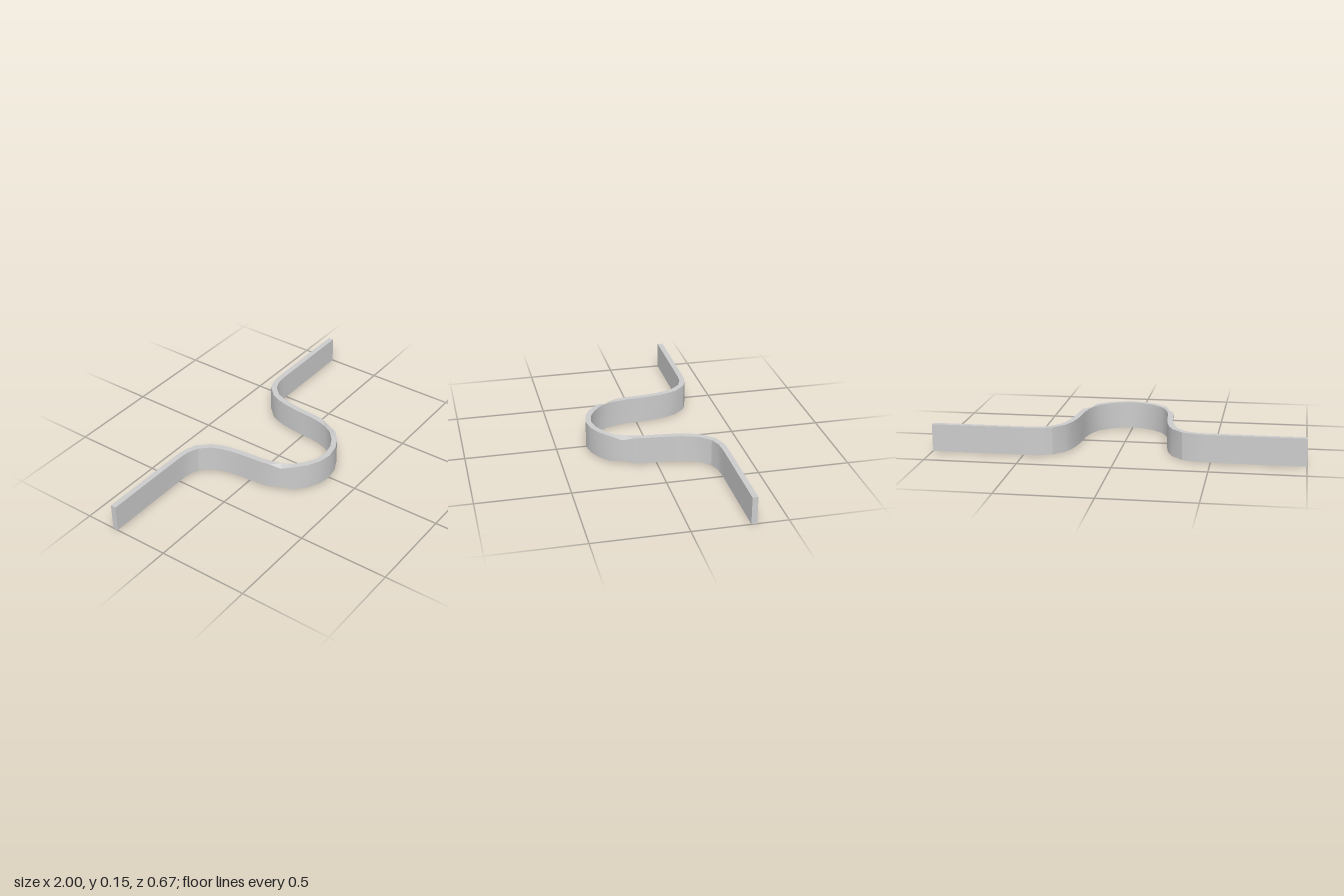
import * as THREE from 'three';
import { toCreasedNormals } from 'three/addons/utils/BufferGeometryUtils.js';

const HEIGHT = 0.15;

// Half of the bend, left end to centre: front edge x, z, back edge x, z, corner chamfer
const HALF = [
  [-1, -0.305, -1, -0.335],
  [-0.52, -0.305, -0.52, -0.335],
  [-0.47, -0.304, -0.46, -0.334],
  [-0.42, -0.299, -0.405, -0.327],
  [-0.365, -0.278, -0.347, -0.305],
  [-0.315, -0.225, -0.288, -0.242],
  [-0.298, -0.18, -0.267, -0.193],
  [-0.284, -0.13, -0.253, -0.138],
  [-0.274, -0.065, -0.242, -0.07],
  [-0.268, 0, -0.237, -0.005],
  [-0.264, 0.06, -0.233, 0.055],
  [-0.254, 0.12, -0.223, 0.112],
  [-0.235, 0.18, -0.206, 0.167, 0.014],
  [-0.2, 0.24, -0.178, 0.217],
  [-0.14, 0.29, -0.125, 0.263],
  [-0.075, 0.322, -0.067, 0.293],
  [0, 0.335, 0, 0.305],
];

// Rectangular cross-section, counted front bottom, front top, back top, back bottom
function section([fx, fz, bx, bz, notch = 0]) {
  return [
    [fx, notch, fz],
    [fx, HEIGHT - notch, fz],
    [bx, HEIGHT, bz],
    [bx, 0, bz],
  ];
}

function stripGeometry() {
  const mirrored = HALF.slice(0, -1).reverse()
    .map(([fx, fz, bx, bz, notch]) => [-fx, fz, -bx, bz, notch]);
  const rings = [...HALF, ...mirrored].map(section);
  const positions = [];
  const quad = (a, b, c, d) => positions.push(...a, ...b, ...c, ...a, ...c, ...d);

  // Four long walls
  for (let i = 0; i < rings.length - 1; i++) {
    const p = rings[i], q = rings[i + 1];
    for (let k = 0; k < 4; k++) {
      const n = (k + 1) % 4;
      // Diagonals mirror about the centre
      if (i < HALF.length - 1) quad(p[k], q[k], q[n], p[n]);
      else quad(q[k], q[n], p[n], p[k]);
    }
  }
  // End caps
  quad(...rings[0]);
  quad(...rings[rings.length - 1].slice().reverse());

  const geometry = new THREE.BufferGeometry();
  geometry.setAttribute('position', new THREE.Float32BufferAttribute(positions, 3));
  return toCreasedNormals(geometry, 0.42);
}

export function createModel() {
  const group = new THREE.Group();
  group.name = 'bentBracket';
  const strip = new THREE.Mesh(
    stripGeometry(),
    new THREE.MeshStandardMaterial({ color: 0xcccccc })
  );
  strip.name = 'bentStrip';
  group.add(strip);
  return group;
}
